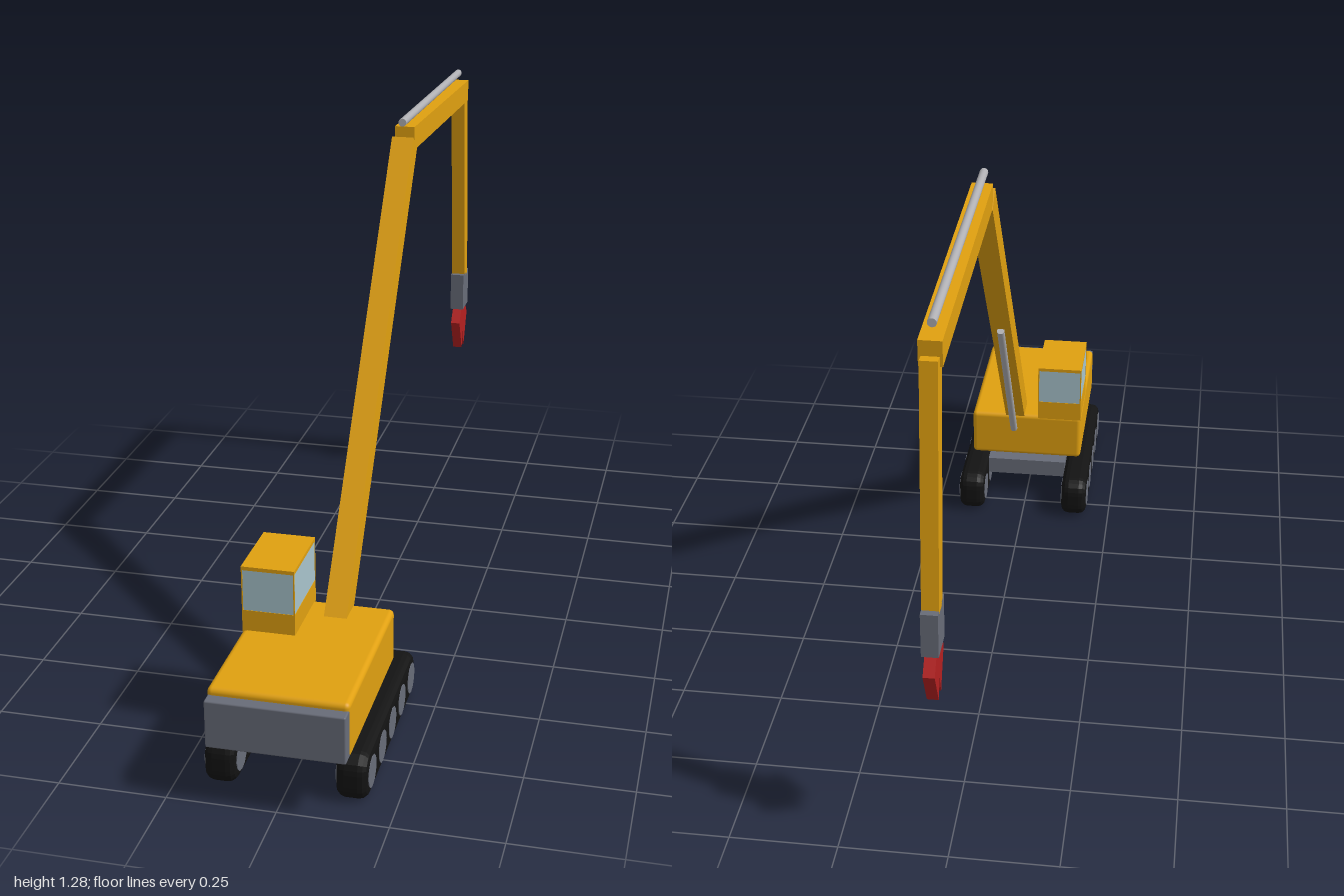
import * as THREE from 'three';
import { RoundedBoxGeometry } from 'three/addons/geometries/RoundedBoxGeometry.js';

const material = (name, color) => {
  const m = new THREE.MeshStandardMaterial({ color });
  m.name = name;
  return m;
};

export function createModel() {
  const yellow = material('machine yellow', 0xe0a010);
  const steel = material('dark steel', 0x686c78);
  const rubber = material('track rubber', 0x131313);
  const chrome = material('light steel', 0xb0b0b4);
  const glass = material('window glass', 0xa8c4cc);
  const red = material('grab red', 0xb42020);

  const model = new THREE.Group();
  model.name = 'materialHandler';

  const add = (name, geometry, mat, x = 0, y = 0, z = 0, parent = model) => {
    const mesh = new THREE.Mesh(geometry, mat);
    mesh.name = name;
    mesh.position.set(x, y, z);
    parent.add(mesh);
    return mesh;
  };
  const box = (name, mat, [x0, x1], [y0, y1], [z0, z1], parent = model) =>
    add(name, new THREE.BoxGeometry(x1 - x0, y1 - y0, z1 - z0), mat,
      (x0 + x1) / 2, (y0 + y1) / 2, (z0 + z1) / 2, parent);

  // Member running between two [z, y] points in the plane of the boom
  const armX = 0.034;
  const between = (name, geometryOf, mat, [z0, y0], [z1, y1]) => {
    const dz = z1 - z0, dy = y1 - y0;
    const mesh = add(name, geometryOf(Math.hypot(dz, dy)), mat, armX, (y0 + y1) / 2, (z0 + z1) / 2);
    mesh.rotation.x = Math.atan2(dz, dy);
    return mesh;
  };
  const beam = (width, depth) => (length) => new THREE.BoxGeometry(width, length, depth);
  const rod = (radius) => (length) => new THREE.CylinderGeometry(radius, radius, length, 16);

  // Crawler tracks: bevelled rounded bars with five wheels through each
  const z0 = 0.442, z1 = 0.916, y0 = 0.024, y1 = 0.096, r = 0.022;
  const outline = new THREE.Shape();
  outline.moveTo(z0 + r, y0);
  outline.lineTo(z1 - r, y0);
  outline.quadraticCurveTo(z1, y0, z1, y0 + r);
  outline.lineTo(z1, y1 - r);
  outline.quadraticCurveTo(z1, y1, z1 - r, y1);
  outline.lineTo(z0 + r, y1);
  outline.quadraticCurveTo(z0, y1, z0, y1 - r);
  outline.lineTo(z0, y0 + r);
  outline.quadraticCurveTo(z0, y0, z0 + r, y0);
  const trackGeometry = new THREE.ExtrudeGeometry(outline, {
    depth: 0.03, bevelEnabled: true, bevelSize: 0.02, bevelThickness: 0.021,
    bevelSegments: 3, curveSegments: 5,
  });
  trackGeometry.translate(0, 0, -0.015);
  trackGeometry.rotateY(-Math.PI / 2);
  const wheelGeometry = new THREE.CylinderGeometry(0.037, 0.037, 0.075, 12);
  wheelGeometry.rotateZ(Math.PI / 2);
  for (const side of [-1, 1]) {
    const track = new THREE.Group();
    track.name = side > 0 ? 'leftTrack' : 'rightTrack';
    track.position.x = side * 0.149;
    model.add(track);
    add('trackBelt', trackGeometry, rubber, 0, 0, 0, track);
    for (let i = 0; i < 5; i++) {
      add('trackWheel', wheelGeometry, steel, 0, 0.06, 0.476 + i * 0.1015, track);
    }
  }

  // Undercarriage and slewing ring
  box('undercarriage', steel, [-0.113, 0.113], [0.07, 0.118], [0.54, 0.82]);
  add('slewingRing', new THREE.CylinderGeometry(0.087, 0.087, 0.03, 32), steel, 0, 0.131, 0.679);

  // Upper body and counterweight
  add('upperBody', new RoundedBoxGeometry(0.316, 0.133, 0.44, 3, 0.012), yellow, 0, 0.2075, 0.753);
  add('counterweight', new RoundedBoxGeometry(0.312, 0.114, 0.04, 2, 0.004), steel, 0, 0.201, 0.98);

  // Cab: yellow base, glazed upper part, thin roof and corner posts
  const cab = new THREE.Group();
  cab.name = 'cab';
  model.add(cab);
  const cx = [-0.157, -0.033], cz = [0.528, 0.71];
  box('cabBase', yellow, cx, [0.27, 0.325], cz, cab);
  box('cabWindows', glass, [cx[0] + 0.001, cx[1] - 0.001], [0.325, 0.425], [cz[0] + 0.001, cz[1] - 0.001], cab);
  box('cabRoof', yellow, cx, [0.425, 0.434], cz, cab);
  for (const x of [cx[0], cx[1] - 0.003]) {
    for (const z of [cz[0], cz[1] - 0.003]) {
      box('cabPost', yellow, [x, x + 0.003], [0.325, 0.425], [z, z + 0.003], cab);
    }
  }

  // Boom, arm and hanging stick
  between('boom', beam(0.054, 0.06), yellow, [0.595, 0.24], [-0.131, 1.222]);
  between('arm', beam(0.05, 0.058), yellow, [-0.13, 1.232], [-0.89, 1.206]);
  between('stick', beam(0.038, 0.049), yellow, [-0.89, 1.2], [-0.938, 0.634]);

  // Hydraulic cylinders
  between('boomCylinder', rod(0.01), chrome, [0.505, 0.245], [0.202, 0.712]);
  between('armCylinder', rod(0.01), chrome, [-0.102, 1.277], [-0.863, 1.26]);

  // Grab rotator and two pointed jaws
  box('grabRotator', steel, [armX - 0.019, armX + 0.019], [0.535, 0.643], [-0.978, -0.898]);
  const jaw = new THREE.Shape([
    [0, 0.545], [0.028, 0.538], [0.061, 0.497], [0.016, 0.405], [0, 0.455],
  ].map(([z, y]) => new THREE.Vector2(z, y)));
  const jawGeometry = new THREE.ExtrudeGeometry(jaw, { depth: 0.026, bevelEnabled: false });
  jawGeometry.translate(0, 0, -0.013);
  for (const side of [-1, 1]) {
    const mesh = add(side > 0 ? 'frontJaw' : 'rearJaw', jawGeometry, red, armX, 0, -0.938);
    mesh.rotation.y = side * -Math.PI / 2;
  }

  return model;
}
